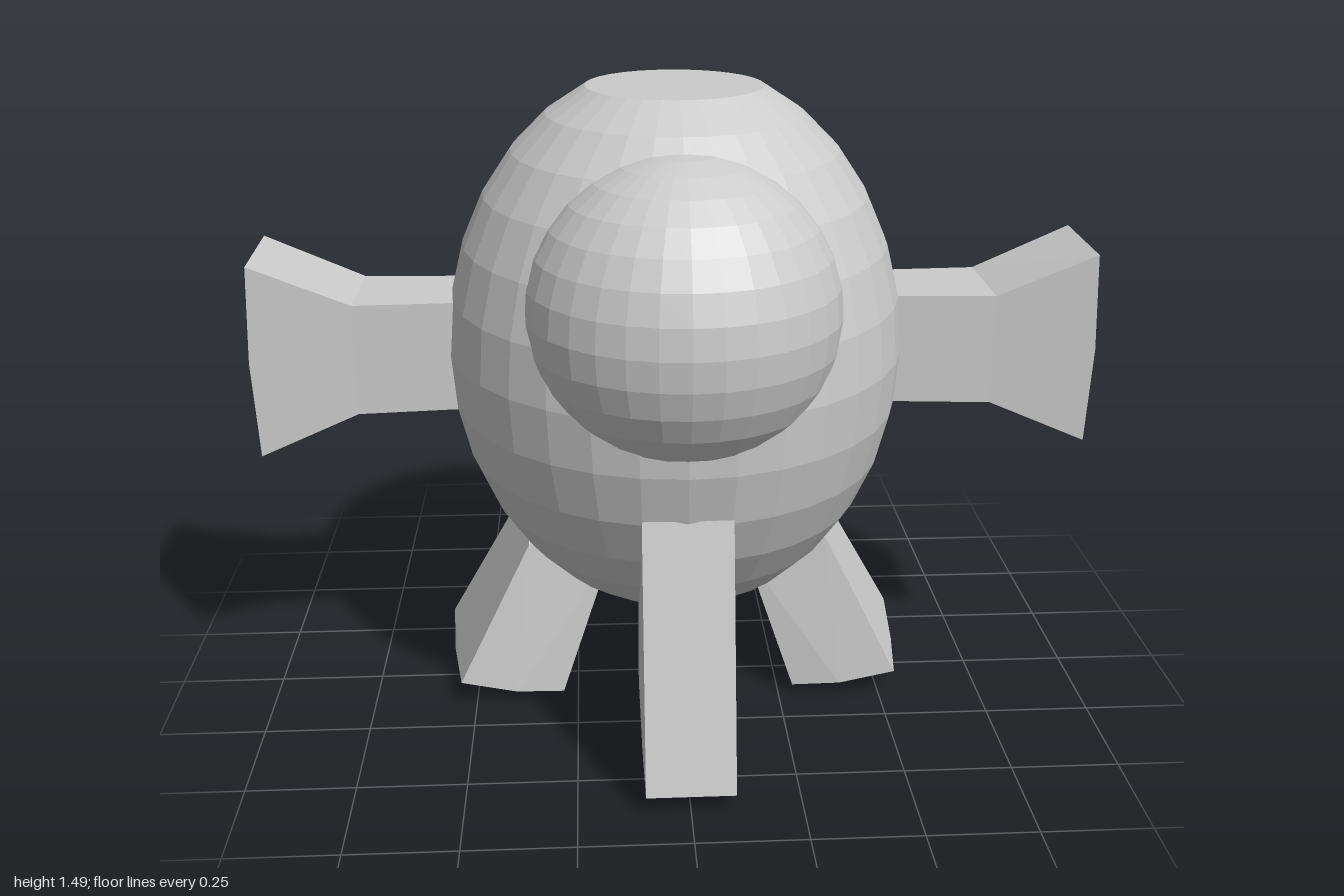
import * as THREE from 'three';
import { ConvexGeometry } from 'three/addons/geometries/ConvexGeometry.js';

const material = new THREE.MeshStandardMaterial({ color: 0xcccccc, flatShading: true });
const MID_Z = -0.05; // the body and arms sit slightly behind the origin

function addPart(group, name, geometry) {
  const mesh = new THREE.Mesh(geometry, material);
  mesh.name = name;
  group.add(mesh);
  return mesh;
}

// Arm: straight neck that flares to a broad, slightly bulging end
function armGeometry(side) {
  const profile = [[0.42, 0.75], [0.75, 0.745], [0.985, 0.65], [0.995, 0.88],
    [0.985, 1.11], [0.75, 1.01], [0.42, 1.01]];
  const shape = new THREE.Shape(profile.map(([x, y]) => new THREE.Vector2(side * x, y)));
  const geometry = new THREE.ExtrudeGeometry(shape, { depth: 2, bevelEnabled: false });
  const p = geometry.attributes.position;
  for (let i = 0; i < p.count; i++) {
    const x = p.getX(i), z = p.getZ(i) - 1;
    const half = 0.113 + 0.075 * Math.max(0, Math.abs(x) - 0.54);
    p.setZ(i, MID_Z + z * half);
    if (Math.abs(x) > 0.9) p.setX(i, x - side * z * 0.005); // end face turned slightly
  }
  geometry.computeVertexNormals();
  return geometry;
}

// Convex solid from corner points, optionally mirrored in x
const hull = (points, side = 1) =>
  new ConvexGeometry(points.map(([x, y, z]) => new THREE.Vector3(side * x, y, z)));

export function createModel() {
  const model = new THREE.Group();
  model.name = 'roundCreature';

  // Egg-shaped body with a flat crown
  const body = new THREE.Group();
  body.name = 'body';
  body.position.set(0, 0.88, MID_Z);
  body.scale.set(0.54, 0.66, 0.595);
  const cut = Math.PI / 8;
  addPart(body, 'bodyShell',
    new THREE.SphereGeometry(1, 32, 14, 0, Math.PI * 2, cut, Math.PI - cut));
  const crown = addPart(body, 'crown', new THREE.CircleGeometry(Math.sin(cut), 32));
  crown.rotation.x = -Math.PI / 2;
  crown.position.y = Math.cos(cut);
  model.add(body);

  // Round bulge on the upper front
  addPart(model, 'frontBulge', new THREE.SphereGeometry(0.35, 32, 16))
    .position.set(0, 1.05, 0.3);

  // Front leg: flat sides, flared downwards, rounded sole
  const frontLeg = [];
  for (const s of [-1, 1]) {
    frontLeg.push([s * 0.1, 0.64, 0.5], [s * 0.1, 0.55, 0.22],
      [s * 0.1, 0.045, 0.645], [s * 0.1, 0.02, 0.4], [s * 0.1, 0.065, 0.165],
      [s * 0.085, 0.012, 0.53], [s * 0.085, 0, 0.4], [s * 0.085, 0.018, 0.27]);
  }
  addPart(model, 'frontLeg', hull(frontLeg));

  // Side legs: splayed outwards, with rounded soles
  const sideLeg = [
    [0.36, 0.415, 0.115], [0.385, 0.415, -0.21], [0.17, 0.36, 0.1], [0.17, 0.36, -0.2],
    [0.535, 0.068, 0.163], [0.565, 0.05, -0.04], [0.582, 0.06, -0.245],
    [0.4, 0.035, 0.155], [0.42, 0.022, -0.05], [0.42, 0.03, -0.23],
    [0.285, 0.022, 0.135], [0.3, 0.013, -0.05], [0.3, 0.018, -0.21],
  ];

  for (const [side, label] of [[1, 'left'], [-1, 'right']]) {
    addPart(model, label + 'Leg', hull(sideLeg, side));
    addPart(model, label + 'Arm', armGeometry(side));
  }
  return model;
}
